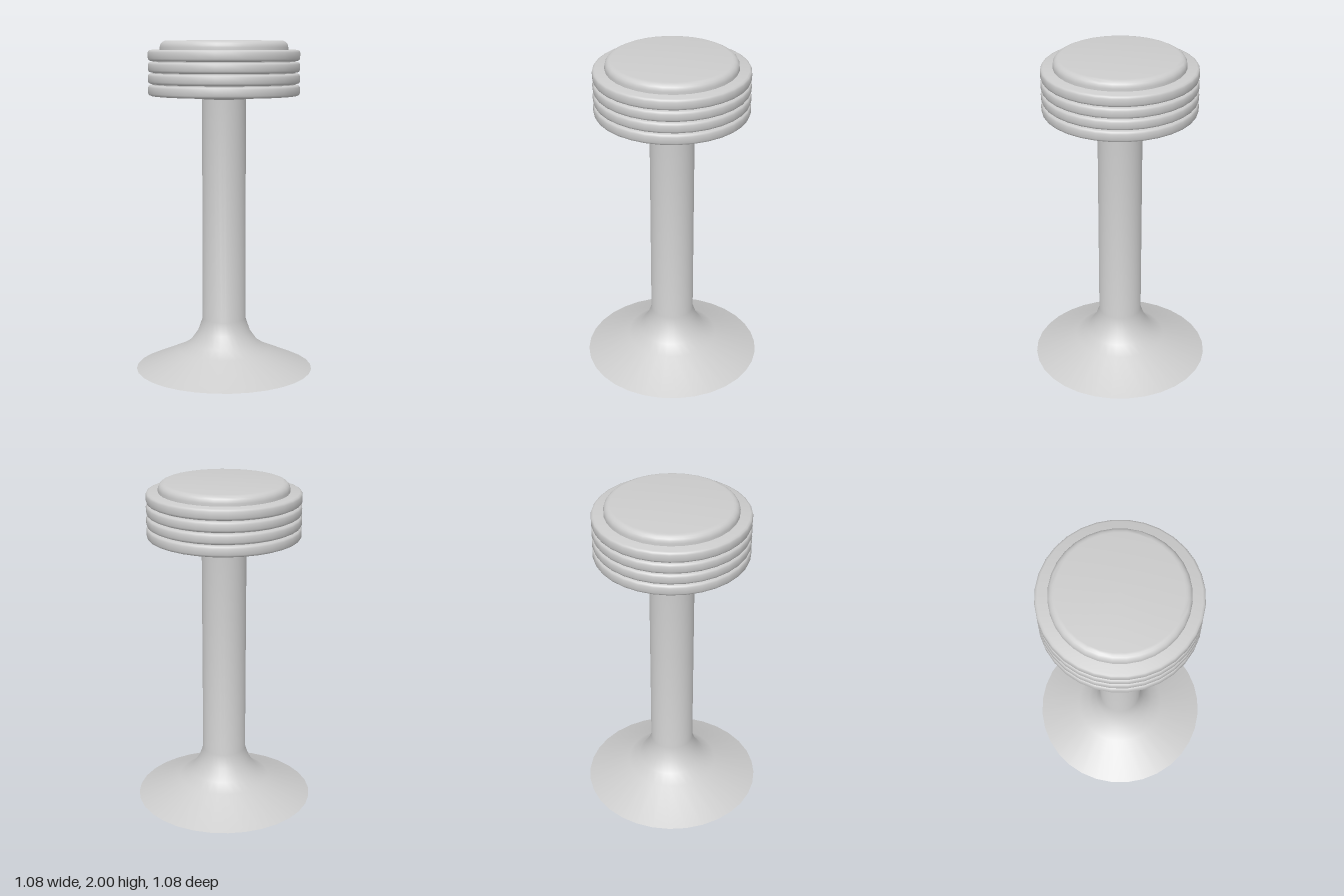
import * as THREE from 'three';
import { toCreasedNormals } from 'three/addons/utils/BufferGeometryUtils.js';

const SIDES = 32;

// Turned part from [radius, height] pairs, listed bottom to top
function turned(name, profile, crease, side = THREE.FrontSide) {
  const points = profile.map(([r, y]) => new THREE.Vector2(r, y));
  const geometry = toCreasedNormals(new THREE.LatheGeometry(points, SIDES), crease);
  const mesh = new THREE.Mesh(geometry, new THREE.MeshStandardMaterial({ color: 0xcccccc, side }));
  mesh.name = name;
  return mesh;
}

export function createModel() {
  const stool = new THREE.Group();
  stool.name = 'counterStool';

  // Hollow flared foot running up into the column, with a small collar on top
  stool.add(turned('pedestal', [
    [0.54, 0], [0.28, 0.115], [0.21, 0.16], [0.16, 0.23], [0.132, 0.31],
    [0.132, 1.655], [0.145, 1.665], [0.145, 1.68],
  ], 0.7, THREE.DoubleSide));

  // Seat rim: four stacked rounded bands separated by grooves
  const bands = 4, bottom = 1.675, pitch = 0.0675, outer = 0.453, bevel = 0.015;
  const rim = [[0, bottom]];
  for (let i = 0; i < bands; i++) {
    const y0 = bottom + i * pitch + (i ? 0.003 : 0);
    const y1 = bottom + (i + 1) * pitch - (i < bands - 1 ? 0.003 : 0);
    if (i) rim.push([0.425, y0]);
    rim.push(
      [outer - bevel, y0], [outer - bevel * 0.3, y0 + bevel * 0.3], [outer, y0 + bevel],
      [outer, y1 - bevel], [outer - bevel * 0.3, y1 - bevel * 0.3], [outer - bevel, y1],
    );
    if (i < bands - 1) rim.push([0.425, y1]);
  }
  rim.push([0, bottom + bands * pitch]);
  stool.add(turned('seatRim', rim, 0.9));

  // Cushion with a rounded upper edge
  const cushion = [[0.382, 1.94]];
  for (let i = 0; i <= 5; i++) {
    const a = (i / 5) * Math.PI / 2;
    cushion.push([0.342 + 0.04 * Math.cos(a), 1.96 + 0.04 * Math.sin(a)]);
  }
  cushion.push([0, 2]);
  stool.add(turned('cushion', cushion, 0.9));

  return stool;
}
